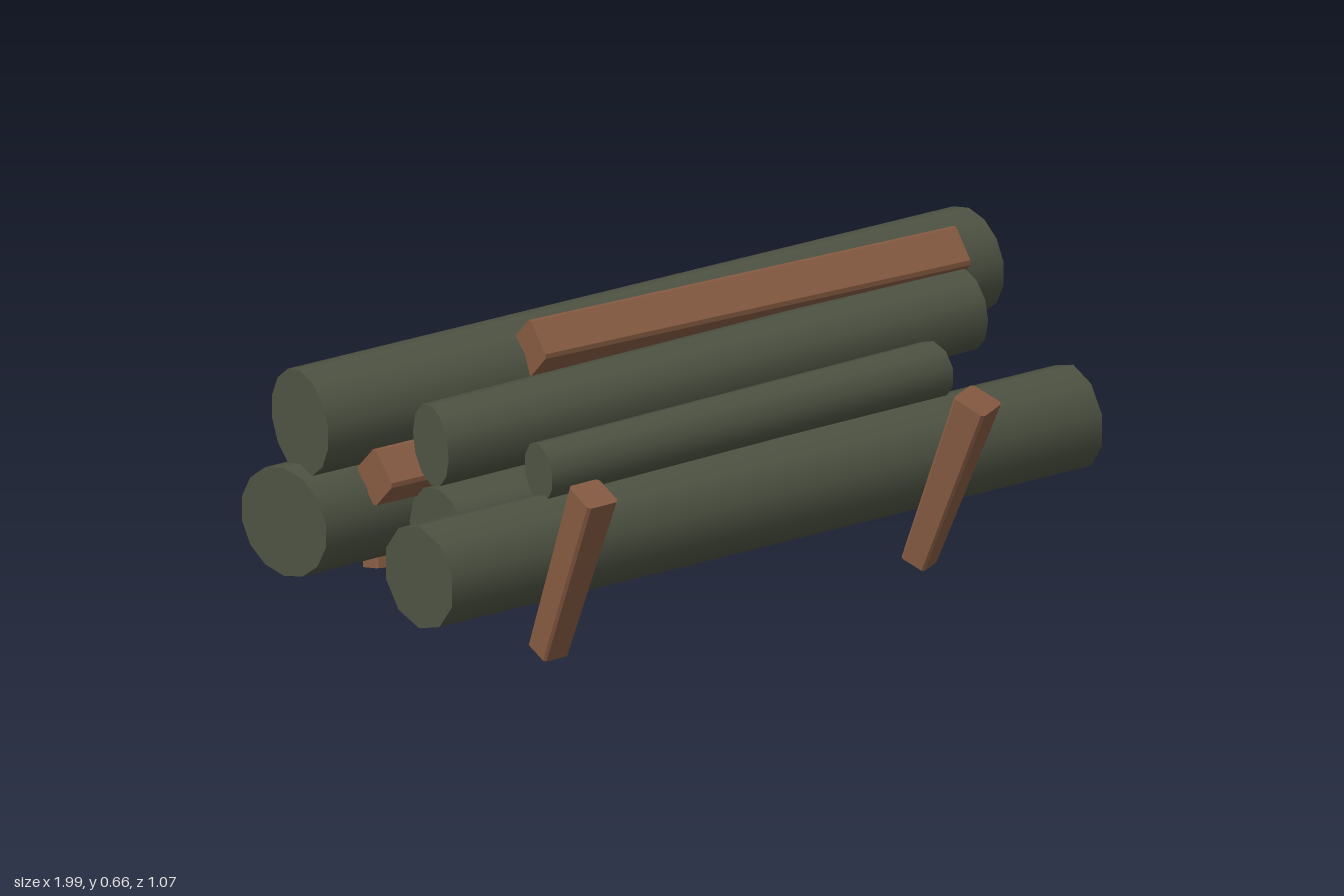
import * as THREE from 'three';

const bark = new THREE.MeshStandardMaterial({ color: 0x4e5343 });
bark.name = 'darkGreenLog';
const timber = new THREE.MeshStandardMaterial({ color: 0x865b42 });
timber.name = 'brownTimber';

// Place a mesh whose length runs along local z between two points
function place(mesh, name, from, to, roll = 0) {
  const a = new THREE.Vector3(...from), b = new THREE.Vector3(...to);
  mesh.name = name;
  mesh.position.copy(a).lerp(b, 0.5);
  mesh.lookAt(b);
  mesh.rotateZ(roll);
  return mesh;
}

const span = (a, b) => Math.hypot(a[0] - b[0], a[1] - b[1], a[2] - b[2]);

// Round log with unevenly sawn ends: slant = [start, end] tilt across the log
function log(name, from, to, radius, sides, slant) {
  const g = new THREE.CylinderGeometry(radius, radius, span(from, to), sides);
  g.rotateX(Math.PI / 2);
  const p = g.attributes.position;
  for (let i = 0; i < p.count; i++) {
    const z = p.getZ(i);
    p.setZ(i, z + p.getX(i) * slant[z < 0 ? 0 : 1]);
  }
  return place(new THREE.Mesh(g, bark), name, from, to);
}

// Square bar with narrow chamfered edges, tapering from width w0 to w1
function bar(name, from, to, w0, w1, roll) {
  const h = 0.5, c = 0.42, length = span(from, to);
  const s = new THREE.Shape();
  s.moveTo(-c, -h);
  [[c, -h], [h, -c], [h, c], [c, h], [-c, h], [-h, c], [-h, -c]].forEach(([x, y]) => s.lineTo(x, y));
  const g = new THREE.ExtrudeGeometry(s, { depth: length, bevelEnabled: false });
  const p = g.attributes.position;
  for (let i = 0; i < p.count; i++) {
    const w = THREE.MathUtils.lerp(w0, w1, p.getZ(i) / length);
    p.setXYZ(i, p.getX(i) * w, p.getY(i) * w, p.getZ(i) - length / 2);
  }
  g.computeVertexNormals();
  return place(new THREE.Mesh(g, timber), name, from, to, roll);
}

export function createModel() {
  const group = new THREE.Group();
  group.name = 'logPile';

  // Stacked logs
  group.add(
    log('frontBottomLog', [-0.905, 0.243, 0.229], [0.968, 0.243, 0.212], 0.127, 10, [-0.08, 0.02]),
    log('middleBottomLog', [-0.7, 0.236, 0.01], [0.33, 0.236, 0.003], 0.117, 12, [0, 0.1]),
    log('backBottomLog', [-0.97, 0.252, -0.235], [0.81, 0.252, -0.275], 0.135, 14, [-0.2, -0.08]),
    log('backTopLog', [-0.925, 0.492, -0.234], [0.98, 0.492, -0.238], 0.129, 14, [0.06, -0.1]),
    log('middleTopLog', [-0.74, 0.48, 0.038], [0.805, 0.48, 0.002], 0.099, 12, [0.2, 0.05]),
    log('frontTopLog', [-0.54, 0.417, 0.192], [0.61, 0.417, 0.155], 0.071, 10, [0.15, -0.1]),
  );

  // Split bars lying along the pile, edge up
  const edge = Math.PI / 4;
  group.add(
    bar('topBar', [-0.355, 0.594, -0.112], [0.82, 0.594, -0.062], 0.105, 0.105, edge),
    bar('innerBar', [-0.805, 0.37, -0.1], [0.77, 0.37, -0.1], 0.106, 0.106, edge),
    bar('backBar', [-0.355, 0.21, -0.465], [0.825, 0.21, -0.435], 0.105, 0.105, edge),
  );

  // Leaning stakes that hold the pile
  group.add(
    bar('frontRightStake', [-0.592, 0.02, 0.308], [-0.585, 0.463, 0.485], 0.072, 0.088, 0),
    bar('frontLeftStake', [0.463, 0.02, 0.308], [0.508, 0.463, 0.485], 0.066, 0.088, 0.2),
    bar('backStake', [-0.61, 0.026, -0.355], [-0.555, 0.482, -0.472], 0.066, 0.09, 0.4),
  );
  return group;
}
